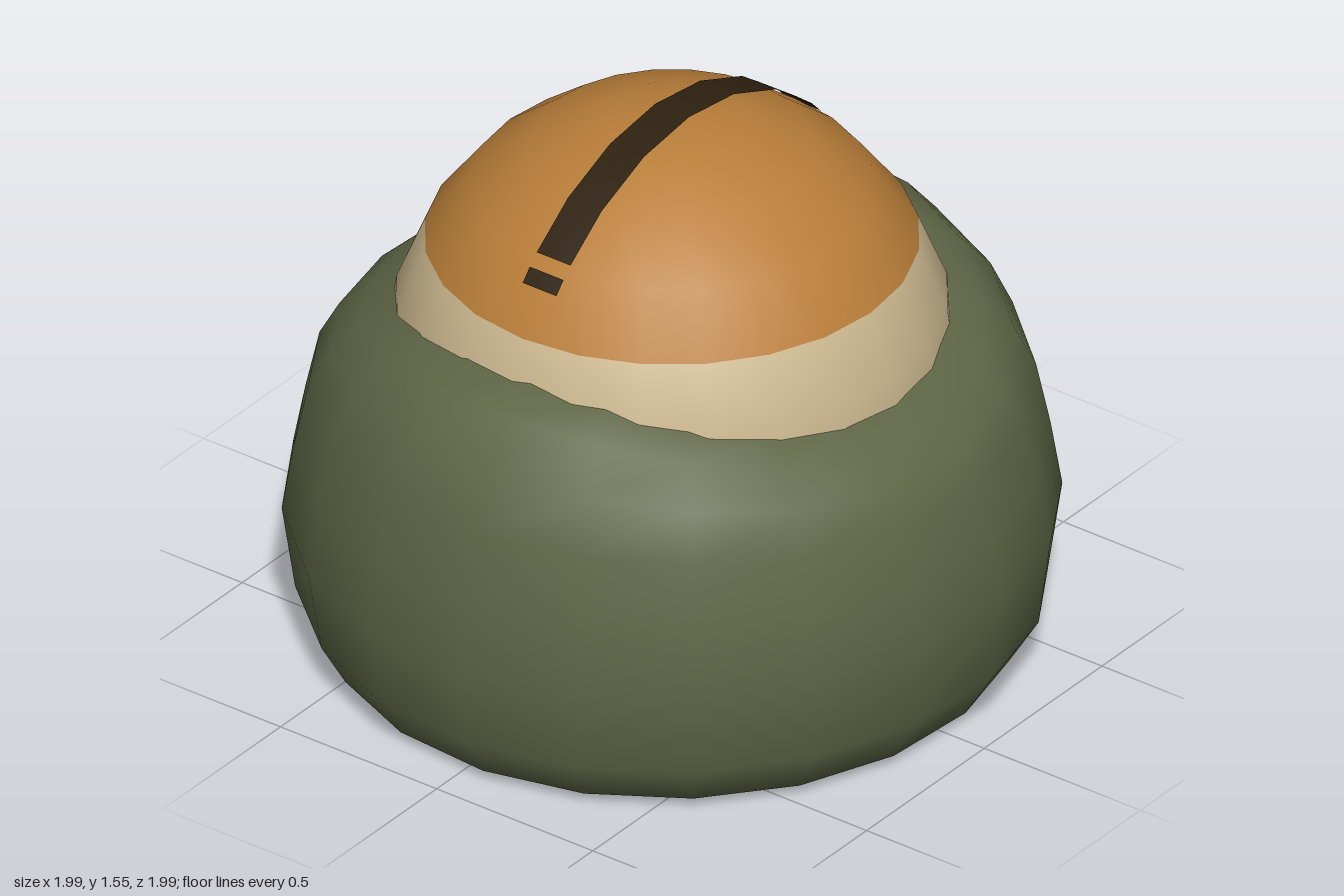
import * as THREE from 'three';

const material = (name, color, side = THREE.FrontSide) => {
  const m = new THREE.MeshStandardMaterial({ color, side });
  m.name = name;
  return m;
};

const R = 0.735;        // eyeball radius
const CENTER_Y = 0.807; // eyeball height

// Surface through a grid of points, optionally closed around its columns
function gridGeometry(columns, rows, closed, point) {
  const positions = [], index = [];
  for (let i = 0; i < columns; i++)
    for (let j = 0; j < rows; j++) positions.push(...point(i, j));
  for (let i = 0; i < (closed ? columns : columns - 1); i++) {
    const k = (i + 1) % columns;
    for (let j = 0; j < rows - 1; j++) {
      const a = i * rows + j, b = k * rows + j;
      index.push(a, b, b + 1, a, b + 1, a + 1);
    }
  }
  const g = new THREE.BufferGeometry();
  g.setAttribute('position', new THREE.Float32BufferAttribute(positions, 3));
  g.setIndex(index);
  g.computeVertexNormals();
  return g;
}

// Lid shell: the side profile blends into the lower front/back profile
function lidGeometry() {
  const side = [[0.82, 0], [0.90, 0.03], [0.96, 0.14], [1.0, 0.36], [0.975, 0.57],
    [0.938, 0.77], [0.872, 0.92], [0.78, 1.03], [0.665, 1.08], [0.58, 1.09]];
  const front = [[0.84, 0.01], [0.89, 0.03], [0.97, 0.16], [1.0, 0.41], [0.967, 0.57],
    [0.93, 0.73], [0.88, 0.815], [0.81, 0.88], [0.715, 0.932], [0.64, 0.955]];
  const segments = 20;
  return gridGeometry(segments, side.length, true, (i, j) => {
    const a = THREE.MathUtils.degToRad(4.5 + i * 360 / segments);
    const t = Math.sin(a) ** 2;
    const r = THREE.MathUtils.lerp(front[j][0], side[j][0], t);
    const y = THREE.MathUtils.lerp(front[j][1], side[j][1], t);
    return [r * Math.sin(a), y, r * Math.cos(a)];
  });
}

// Thin strip arching over the eyeball along x, through the given angles
function stripGeometry(degrees) {
  const halfWidth = 0.054, r = R + 0.006;
  return gridGeometry(degrees.length, 3, false, (i, j) => {
    const a = THREE.MathUtils.degToRad(degrees[i]);
    const z = (1 - j) * halfWidth;
    const q = Math.sqrt(r * r - z * z);
    return [q * Math.sin(a), q * Math.cos(a), z];
  });
}

export function createModel() {
  const group = new THREE.Group();
  group.name = 'liddedEye';
  const green = material('lid green', 0x5f6646, THREE.DoubleSide);
  const cream = material('eyeball cream', 0xcbb78f);
  const orange = material('iris orange', 0xb97e39);
  const dark = material('pupil dark brown', 0x2e2110, THREE.DoubleSide);

  const add = (name, geometry, mat, y = 0) => {
    const mesh = new THREE.Mesh(geometry, mat);
    mesh.name = name;
    mesh.position.y = y;
    group.add(mesh);
  };

  // Eyeball split at the iris edge, 60 degrees from the top
  const edge = Math.PI / 3, turn = Math.PI * 2;
  add('iris', new THREE.SphereGeometry(R, 24, 4, 0, turn, 0, edge), orange, CENTER_Y);
  add('eyeball', new THREE.SphereGeometry(R, 24, 8, 0, turn, edge, Math.PI - edge), cream, CENTER_Y);

  // Slit pupil with a small break near one end
  add('pupil', stripGeometry([-42.9, -30, -15, 0, 15, 30, 45, 49.6]), dark, CENTER_Y);
  add('pupilTip', stripGeometry([-49.6, -46.1]), dark, CENTER_Y);

  add('eyelid', lidGeometry(), green);
  return group;
}
